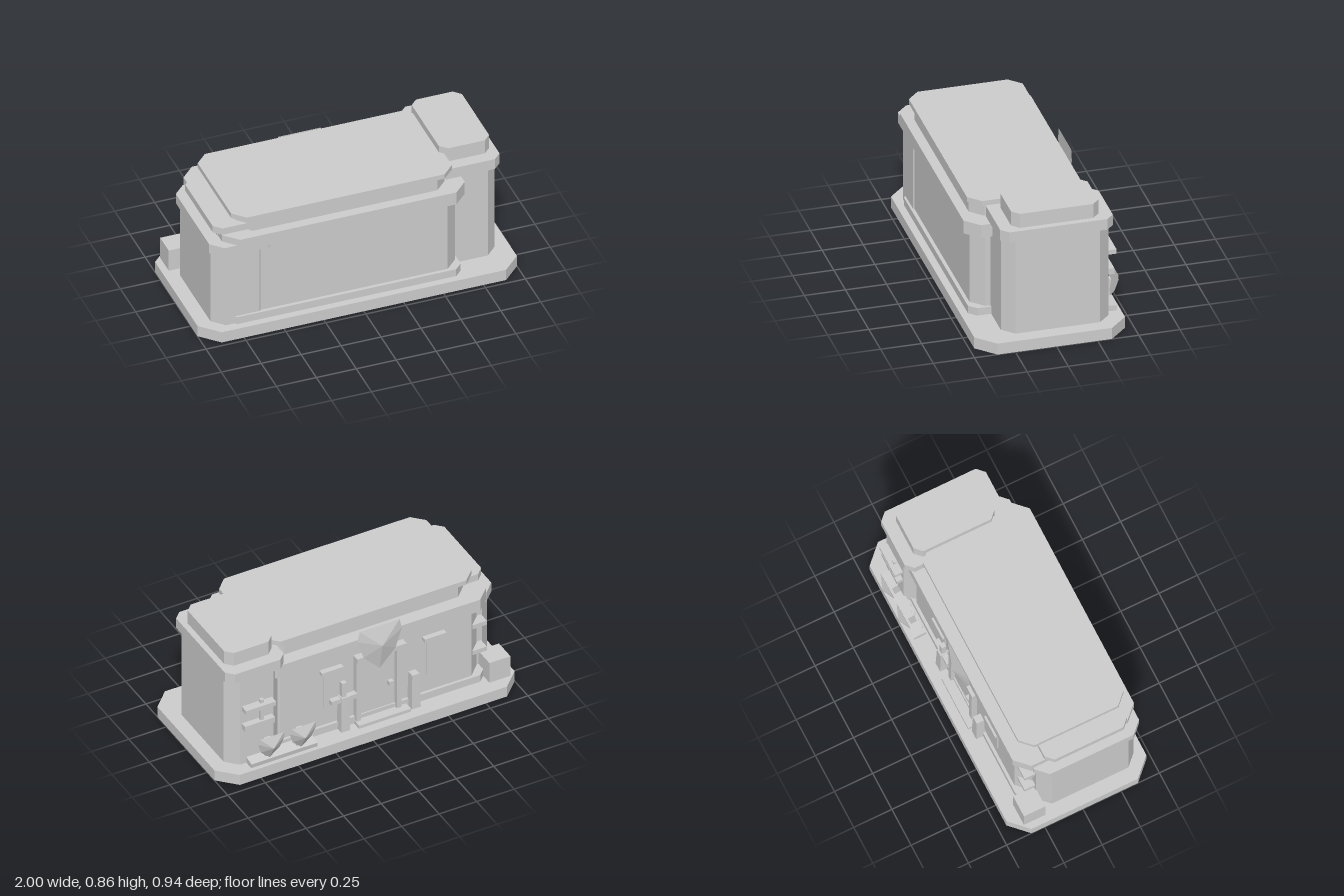
import * as THREE from 'three';

export function createModel() {
  const root = new THREE.Group();
  const stone = new THREE.MeshStandardMaterial({ color: 0xcccccc });
  stone.name = 'pale grey';
  stone.side = THREE.DoubleSide;
  stone.flatShading = true;

  const add = (name, geo) => {
    const m = new THREE.Mesh(geo, stone);
    m.name = name;
    root.add(m);
    return m;
  };

  // Corner points of a rectangle with cut corners, seen from above
  const octagon = (x0, x1, z0, z1, c) => [
    [x0 + c, z0], [x1 - c, z0], [x1, z0 + c], [x1, z1 - c],
    [x1 - c, z1], [x0 + c, z1], [x0, z1 - c], [x0, z0 + c],
  ].map(([x, z]) => new THREE.Vector2(x, -z)).reverse();

  const slab = (name, x0, x1, y0, y1, z0, z1, c) => {
    const geo = new THREE.ExtrudeGeometry(new THREE.Shape(octagon(x0, x1, z0, z1, c)),
      { depth: y1 - y0, bevelEnabled: false });
    return add(name, geo.rotateX(-Math.PI / 2).translate(0, y0, 0));
  };

  const box = (name, x0, x1, y0, y1, z0, z1) => {
    const m = add(name, new THREE.BoxGeometry(x1 - x0, y1 - y0, z1 - z0));
    m.position.set((x0 + x1) / 2, (y0 + y1) / 2, (z0 + z1) / 2);
    return m;
  };

  // Open shell: side walls plus a top, with no bottom
  const shell = (name, x0, x1, y0, y1, z0, z1, c) => {
    const outline = octagon(x0, x1, z0, z1, c);
    const pos = [];
    outline.forEach((a, i) => {
      const b = outline[(i + 1) % outline.length];
      pos.push(a.x, y0, -a.y, b.x, y1, -b.y, a.x, y1, -a.y,
        a.x, y0, -a.y, b.x, y0, -b.y, b.x, y1, -b.y);
    });
    const walls = new THREE.BufferGeometry();
    walls.setAttribute('position', new THREE.Float32BufferAttribute(pos, 3));
    walls.computeVertexNormals();
    add(name + 'Walls', walls);
    add(name + 'Top', new THREE.ShapeGeometry(new THREE.Shape(outline))
      .rotateX(-Math.PI / 2).translate(0, y1, 0));
  };

  // Hollow base, with the plinth walls reaching down through its top
  shell('base', -1, 1, 0, 0.073, -0.447, 0.47, 0.11);
  shell('plinth', -0.82, 0.64, 0.025, 0.122, -0.33, 0.425, 0.045);

  // Main hall: walls, cornice, attic and roof
  slab('hallWalls', -0.8, 0.625, 0.122, 0.605, -0.312, 0.403, 0.075);
  slab('hallCornice', -0.85, 0.67, 0.605, 0.69, -0.345, 0.45, 0.083);
  slab('hallAttic', -0.74, 0.565, 0.69, 0.778, -0.26, 0.39, 0.075);
  slab('hallRoof', -0.782, 0.6, 0.778, 0.81, -0.28, 0.412, 0.072);

  // Low wing
  shell('wing', -0.912, -0.56, 0.073, 0.58, -0.23, 0.411, 0.07);
  slab('wingCornice', -0.93, -0.515, 0.58, 0.645, -0.25, 0.437, 0.07);
  slab('wingAttic', -0.855, -0.62, 0.645, 0.69, -0.15, 0.34, 0.04);
  slab('wingRoof', -0.89, -0.6, 0.69, 0.735, -0.175, 0.365, 0.045);

  // Tower
  shell('tower', 0.55, 0.912, 0.073, 0.692, -0.36, 0.295, 0.07);
  slab('towerCornice', 0.535, 0.927, 0.692, 0.762, -0.375, 0.31, 0.045);
  slab('towerRoof', 0.575, 0.89, 0.762, 0.855, -0.297, 0.234, 0.043);

  // Rear door
  box('doorStep', -0.28, 0.065, 0.02, 0.095, -0.39, -0.3);
  box('doorPanel', -0.22, 0.04, 0.095, 0.54, -0.321, -0.312);
  for (const x of [-0.225, 0.045]) box('doorPost', x - 0.015, x + 0.015, 0.095, 0.54, -0.348, -0.312);
  box('doorLintel', -0.27, 0.06, 0.53, 0.56, -0.359, -0.312);
  box('doorHandle', -0.19, -0.16, 0.275, 0.305, -0.348, -0.312);

  // Rear windows
  for (const x of [0.215, -0.47]) {
    box('windowPane', x - 0.048, x + 0.048, 0.25, 0.51, -0.32, -0.312);
    box('windowLintel', x - 0.072, x + 0.072, 0.505, 0.53, -0.346, -0.312);
  }

  // Slightly tapering pillars beside the door; one carries a sword hilt
  const taper = (name, x) => {
    const geo = new THREE.CylinderGeometry(0.034, 0.042, 0.242, 4, 1).rotateY(Math.PI / 4);
    add(name, geo).position.set(x, 0.194, -0.345);
  };
  taper('pillar', -0.325);
  taper('swordBlade', 0.145);
  box('swordGuard', 0.06, 0.23, 0.28, 0.31, -0.36, -0.325);
  box('swordGrip', 0.13, 0.16, 0.31, 0.415, -0.358, -0.328);

  // Faceted shields: a flat outline fanned to a raised point
  const shield = (name, x, y, z, w, h, d, tilt) => {
    const rim = [[-0.9, 1], [0.9, 1], [1, 0.78], [0.72, 0.36], [0, 0], [-0.72, 0.36], [-1, 0.78]];
    const pos = [];
    rim.forEach((a, i) => {
      const b = rim[(i + 1) % rim.length];
      for (const depth of [-d, 0]) {
        const tri = [[a[0] * w, a[1] * h, 0], [b[0] * w, b[1] * h, 0], [0, 0.6 * h, depth]];
        if (depth === 0) tri.reverse();
        pos.push(...tri.flat());
      }
    });
    const geo = new THREE.BufferGeometry();
    geo.setAttribute('position', new THREE.Float32BufferAttribute(pos, 3));
    geo.computeVertexNormals();
    const m = add(name, geo);
    m.position.set(x, y, z);
    m.rotation.x = -tilt;
  };
  shield('doorShield', -0.088, 0.445, -0.36, 0.148, 0.312, 0.037, 0);

  // Tilted bench with two leaning shields
  box('bench', 0.36, 0.8, 0.073, 0.11, -0.423, -0.345).rotation.x = -0.17;
  for (const x of [0.465, 0.675]) {
    box('shieldStand', x - 0.02, x + 0.02, 0.11, 0.23, -0.41, -0.37).rotation.x = -0.17;
    shield('leaningShield', x, 0.105, -0.415, 0.088, 0.178, 0.038, 0.17);
  }

  // Tower shelves
  box('upperShelf', 0.63, 0.83, 0.468, 0.497, -0.413, -0.355);
  box('lowerShelf', 0.63, 0.83, 0.335, 0.373, -0.4, -0.355);
  box('shelfPost', 0.695, 0.72, 0.373, 0.52, -0.387, -0.368);

  // Wing brackets and crate
  for (const y of [0.275, 0.465]) box('wingBracket', -0.835, -0.74, y - 0.015, y + 0.015, -0.3, -0.225);
  box('crate', -0.957, -0.817, 0.073, 0.217, -0.365, -0.225);

  return root;
}
